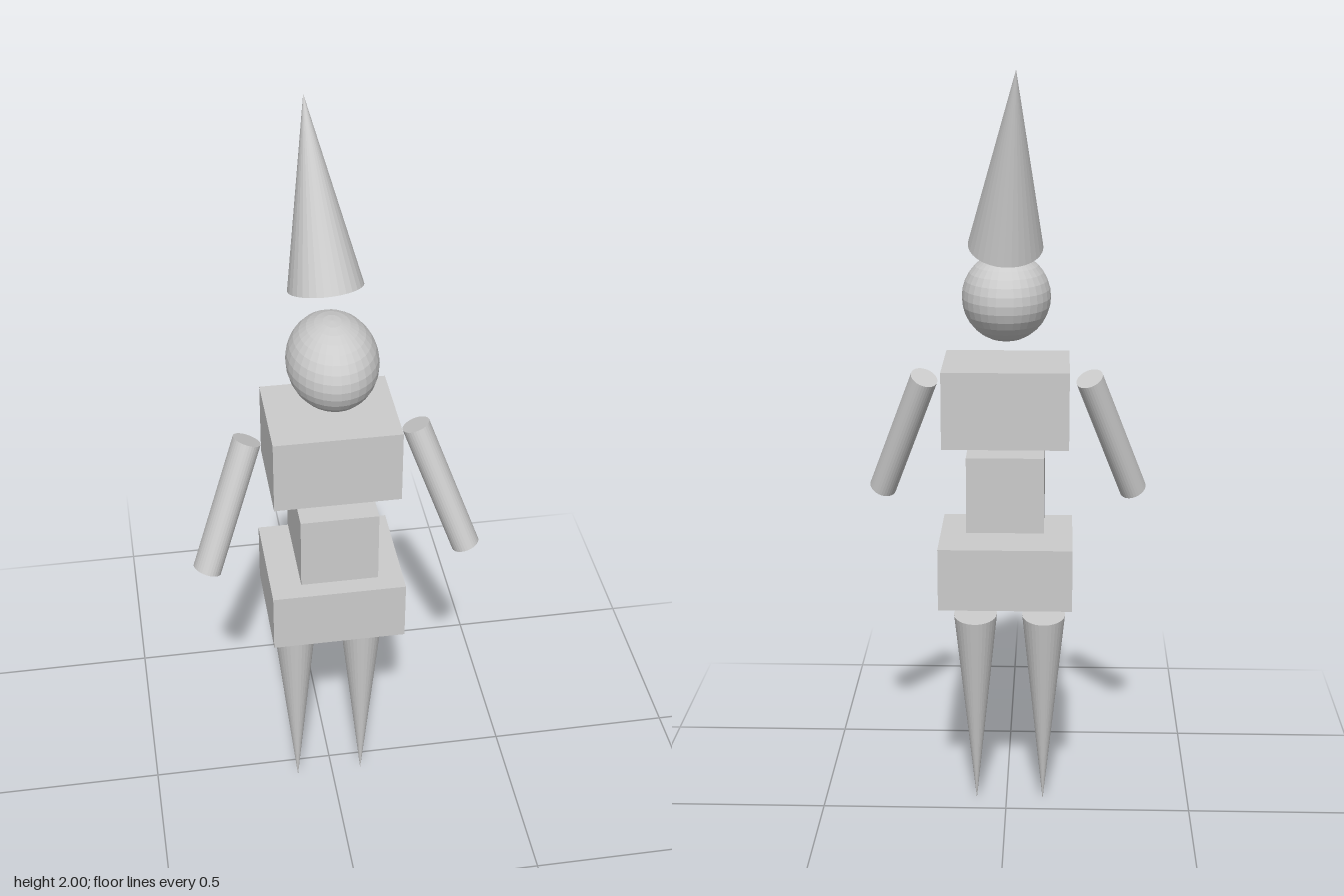
import * as THREE from 'three';

const material = new THREE.MeshStandardMaterial({ color: 0xcccccc, flatShading: true });
const UP = new THREE.Vector3(0, 1, 0);

export function createModel() {
  const model = new THREE.Group();

  const add = (name, geometry) => {
    const mesh = new THREE.Mesh(geometry, material);
    mesh.name = name;
    model.add(mesh);
    return mesh;
  };

  // Box from its centre and size
  const block = (name, center, size) =>
    add(name, new THREE.BoxGeometry(...size)).position.set(...center);

  // Oval cylinder or cone whose axis runs from bottom to top
  const limb = (name, bottom, top, rx, rz, taperTop = 1, taperBottom = 1) => {
    const a = new THREE.Vector3(...bottom);
    const b = new THREE.Vector3(...top);
    const axis = b.clone().sub(a);
    const mesh = add(name, new THREE.CylinderGeometry(taperTop, taperBottom, 1, 32));
    mesh.scale.set(rx, axis.length(), rz);
    mesh.position.copy(a).add(b).multiplyScalar(0.5);
    mesh.quaternion.setFromUnitVectors(UP, axis.normalize());
  };

  // Torso: three separate blocks
  block('chest', [-0.001, 1.15, 0.026], [0.324, 0.2, 0.26]);
  block('waist', [0, 0.92, 0.052], [0.2, 0.2, 0.254]);
  block('hips', [-0.001, 0.703, 0.037], [0.347, 0.165, 0.302]);

  // Egg-shaped head
  const head = add('head', new THREE.SphereGeometry(1, 32, 16));
  head.scale.set(0.114, 0.114, 0.147);
  head.position.set(0, 1.415, 0.051);

  // Pointed hat leaning back
  limb('hat', [-0.001, 1.563, -0.047], [-0.03, 2, -0.2], 0.094, 0.114, 0);

  // Arms and legs
  for (const [side, s] of [['left', 1], ['right', -1]]) {
    const dx = s > 0 ? 0 : -0.002;
    limb(side + 'Arm', [s * 0.334 + dx, 0.876, 0.145], [s * 0.213 + dx, 1.2, 0.051], 0.036, 0.045);
    const x = s * 0.091 - 0.009;
    limb(side + 'Leg', [x, 0, 0.061], [x, 0.557, 0.032], 0.0575, 0.074, 1, 0);
  }

  return model;
}
